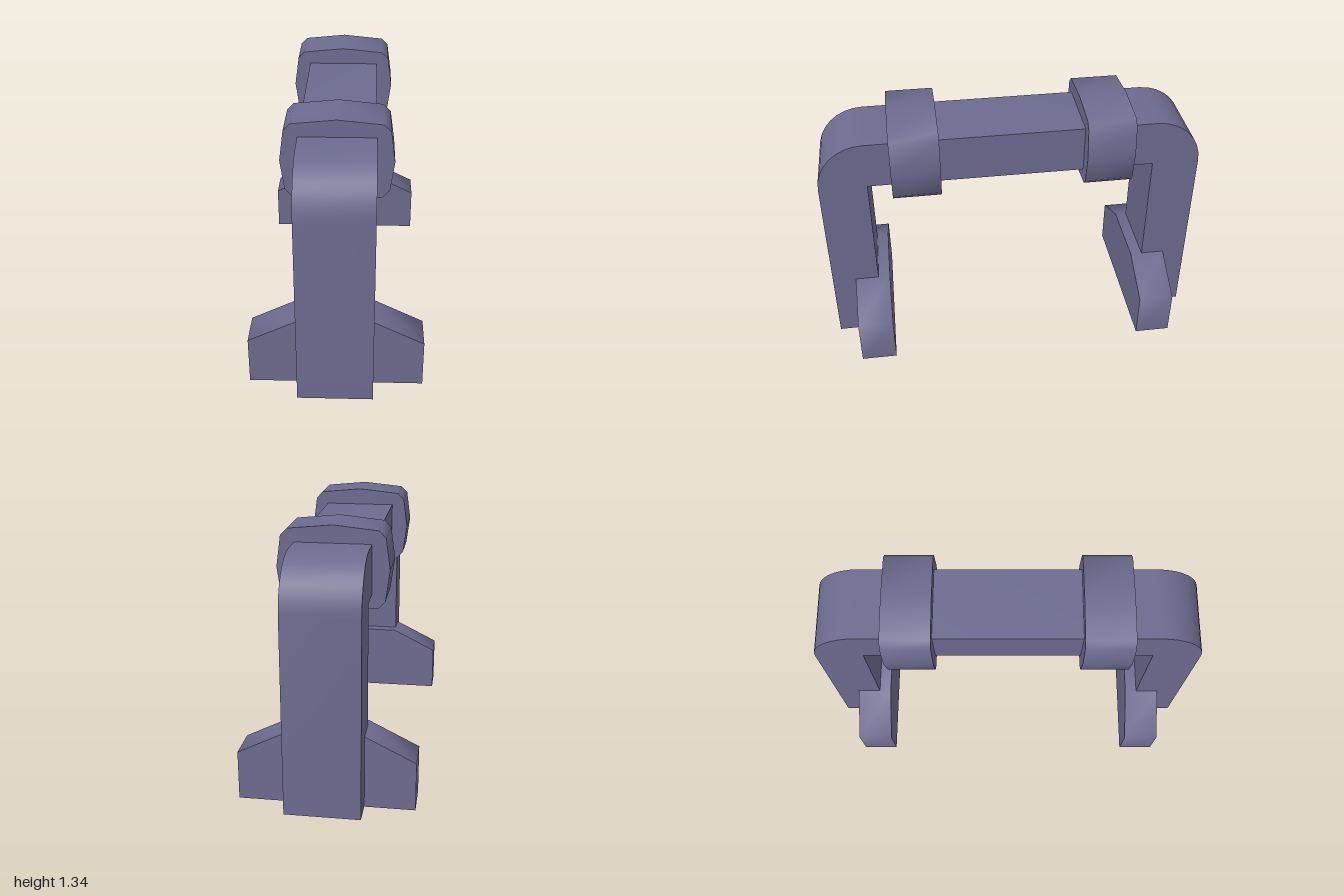
import * as THREE from 'three';
import { toCreasedNormals } from 'three/addons/utils/BufferGeometryUtils.js';

const slate = new THREE.MeshStandardMaterial({ color: 0x6c6b8f });
slate.name = 'slate';

// Extrudes a shape along z, centred, smoothing its shallow corners
function slab(name, shape, depth) {
  const geometry = new THREE.ExtrudeGeometry(shape, { depth, bevelEnabled: false, curveSegments: 4 });
  geometry.translate(0, 0, -depth / 2);
  const mesh = new THREE.Mesh(toCreasedNormals(geometry, 1.15), slate);
  mesh.name = name;
  return mesh;
}

// Shape from the right-hand half of an outline, listed bottom to top and mirrored in x
function mirroredShape(half) {
  const left = half.filter(([x]) => x > 0).reverse().map(([x, y]) => [-x, y]);
  return new THREE.Shape([...half, ...left].map(([x, y]) => new THREE.Vector2(x, y)));
}

export function createModel() {
  const model = new THREE.Group();
  model.name = 'archHandle';

  // Bar and two legs, rounded on the outer corners and square inside
  const arch = new THREE.Shape();
  arch.moveTo(0.75, 0);
  arch.lineTo(1, 0);
  arch.lineTo(1, 1);
  arch.absarc(0.75, 1, 0.25, 0, Math.PI / 2);
  arch.lineTo(-0.75, 1.25);
  arch.absarc(-0.75, 1, 0.25, Math.PI / 2, Math.PI);
  arch.lineTo(-1, 0);
  arch.lineTo(-0.75, 0);
  arch.lineTo(-0.75, 1);
  arch.lineTo(0.75, 1);
  const archMesh = slab('arch', arch, 0.375);
  archMesh.rotation.y = Math.PI / 2;
  model.add(archMesh);

  const collar = mirroredShape([
    [0, 0.915], [0.22, 0.935], [0.254, 0.973], [0.275, 1.126],
    [0.254, 1.281], [0.22, 1.316], [0, 1.338],
  ]);
  const foot = mirroredShape([[0.4375, 0], [0.4375, 0.25], [0.1875, 0.375]]);

  // Collars around the bar and feet across the legs, at both ends
  for (const [end, side] of [['front', 1], ['back', -1]]) {
    const collarMesh = slab(end + 'Collar', collar, 0.25);
    collarMesh.position.z = side * 0.5;
    const footMesh = slab(end + 'Foot', foot, 0.1875);
    footMesh.position.z = side * 0.78125;
    model.add(collarMesh, footMesh);
  }
  return model;
}
